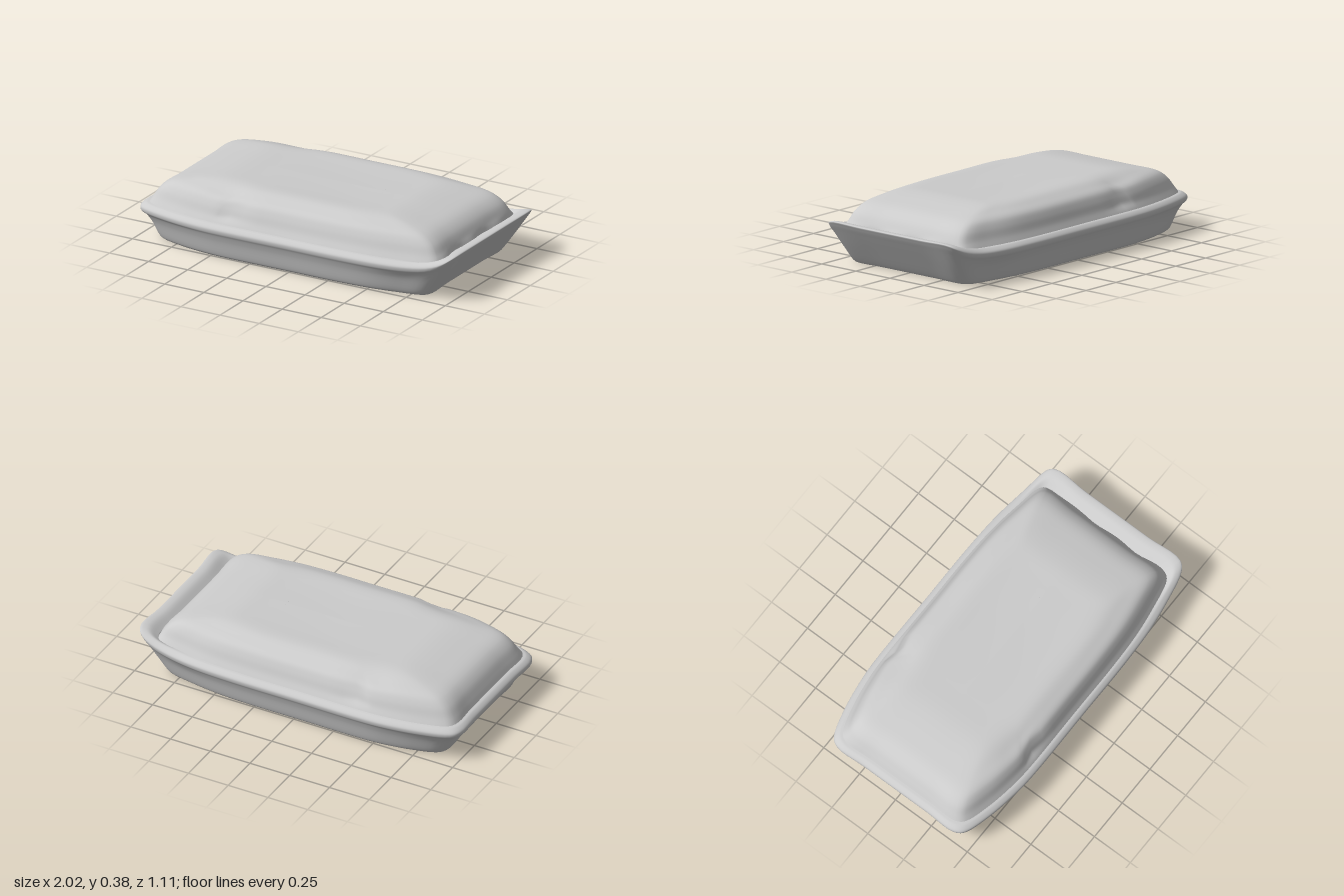
import * as THREE from 'three';

// Half outline from the left end along the front to the right end (unit scale)
const HALF = [[-1, 0], [-1, 0.4], [-1, 0.74], [-0.96, 0.835], [-0.8, 0.925], [-0.62, 0.98], [-0.48, 1], [0, 1],
  [0.35, 1], [0.6, 0.98], [0.8, 0.93], [0.96, 0.87], [1, 0.8], [1, 0.4], [1, 0]];
const back = HALF.slice(1, -1).reverse().map(([u, v]) => [u, -v]);
const outline = new THREE.CatmullRomCurve3(
  [...HALF, ...back].map(([u, v]) => new THREE.Vector3(u, 0, v)), true).getPoints(140).slice(0, -1);

// Rings: [left x, right x, half width, y, y at the right end]
const TRAY = [
  [-0.885, 0.835, 0.49, 0, 0],
  [-0.897, 0.845, 0.5, 0.012, 0.012],
  [-0.94, 0.905, 0.525, 0.1, 0.1],
  [-0.972, 0.965, 0.54, 0.14, 0.19],
  [-0.998, 0.992, 0.549, 0.158, 0.232],
  [-0.998, 1, 0.55, 0.18, 0.25],
  [-0.975, 0.955, 0.53, 0.2, 0.248],
  [-0.955, 0.9, 0.515, 0.205, 0.212],
];
const CUSHION = [
  [-0.955, 0.9, 0.515, 0.205, 0.212],
  [-0.935, 0.885, 0.495, 0.24, 0.24],
  [-0.9, 0.85, 0.475, 0.29, 0.29],
  [-0.845, 0.79, 0.45, 0.33, 0.33],
  [-0.73, 0.68, 0.4, 0.357, 0.357],
  [-0.57, 0.53, 0.335, 0.379, 0.379],
  [-0.4, 0.4, 0.2, 0.38, 0.38],
  [-0.3, 0.3, 0, 0.38, 0.38],
];

function ringPoint([xl, xr, w, y, yr], { x: u, z: v }) {
  const lift = Math.max(0, (u - 0.4) / 0.6) ** 6;
  return new THREE.Vector3((xl + xr) / 2 + u * (xr - xl) / 2, y + (yr - y) * lift, v * w);
}

// Smooth skin through a stack of rings
function loft(rings, deform = () => {}) {
  const n = outline.length, rows = (rings.length - 1) * 5, pos = [], index = [];
  const columns = outline.map(p =>
    new THREE.CatmullRomCurve3(rings.map(r => ringPoint(r, p))).getPoints(rows));
  for (let i = 0; i <= rows; i++) {
    for (let j = 0; j < n; j++) {
      const p = columns[j][i];
      deform(p);
      pos.push(p.x, p.y, p.z);
      if (i === rows) continue;
      const a = i * n + j, b = i * n + (j + 1) % n;
      index.push(a, b, b + n, a, b + n, a + n);
    }
  }
  const g = new THREE.BufferGeometry();
  g.setAttribute('position', new THREE.Float32BufferAttribute(pos, 3));
  g.setIndex(index);
  g.computeVertexNormals();
  return g;
}

// Soft pinches in the sides and faint hollows along the top
function wrinkle(p) {
  const bump = (cx, cz, sx, sz) =>
    Math.exp(-(((p.x - cx) / sx) ** 2) - (((Math.abs(p.z) - cz) / sz) ** 2));
  const rise = THREE.MathUtils.smoothstep(p.y, 0.205, 0.25);
  p.z -= Math.sign(p.z) * 0.018 * rise * bump(-0.38, 0.47, 0.05, 0.07);
  p.y -= 0.012 * rise * bump(-0.45, 0.4, 0.12, 0.08);
  p.y -= 0.006 * rise * bump(0.1, 0.1, 0.35, 0.2);
  // slightly wavy seam beside the raised lip
  if (p.x > 0.8) p.x += 0.006 * Math.sin(p.z * 22) * (1 - rise);
}

export function createModel() {
  const group = new THREE.Group();
  const material = new THREE.MeshStandardMaterial({ color: 0xcccccc, side: THREE.DoubleSide });
  const add = (name, geometry) => {
    const mesh = new THREE.Mesh(geometry, material);
    mesh.name = name;
    group.add(mesh);
  };

  // Flared tray with a rolled rim and a raised lip at the right end
  add('tray', loft(TRAY));

  // Flat underside
  const base = outline.map(p => ringPoint(TRAY[0], p)).map(p => new THREE.Vector2(p.x, p.z));
  add('trayBottom', new THREE.ShapeGeometry(new THREE.Shape(base)).rotateX(Math.PI / 2));

  // Puffed top
  add('cushion', loft(CUSHION, wrinkle));
  return group;
}
